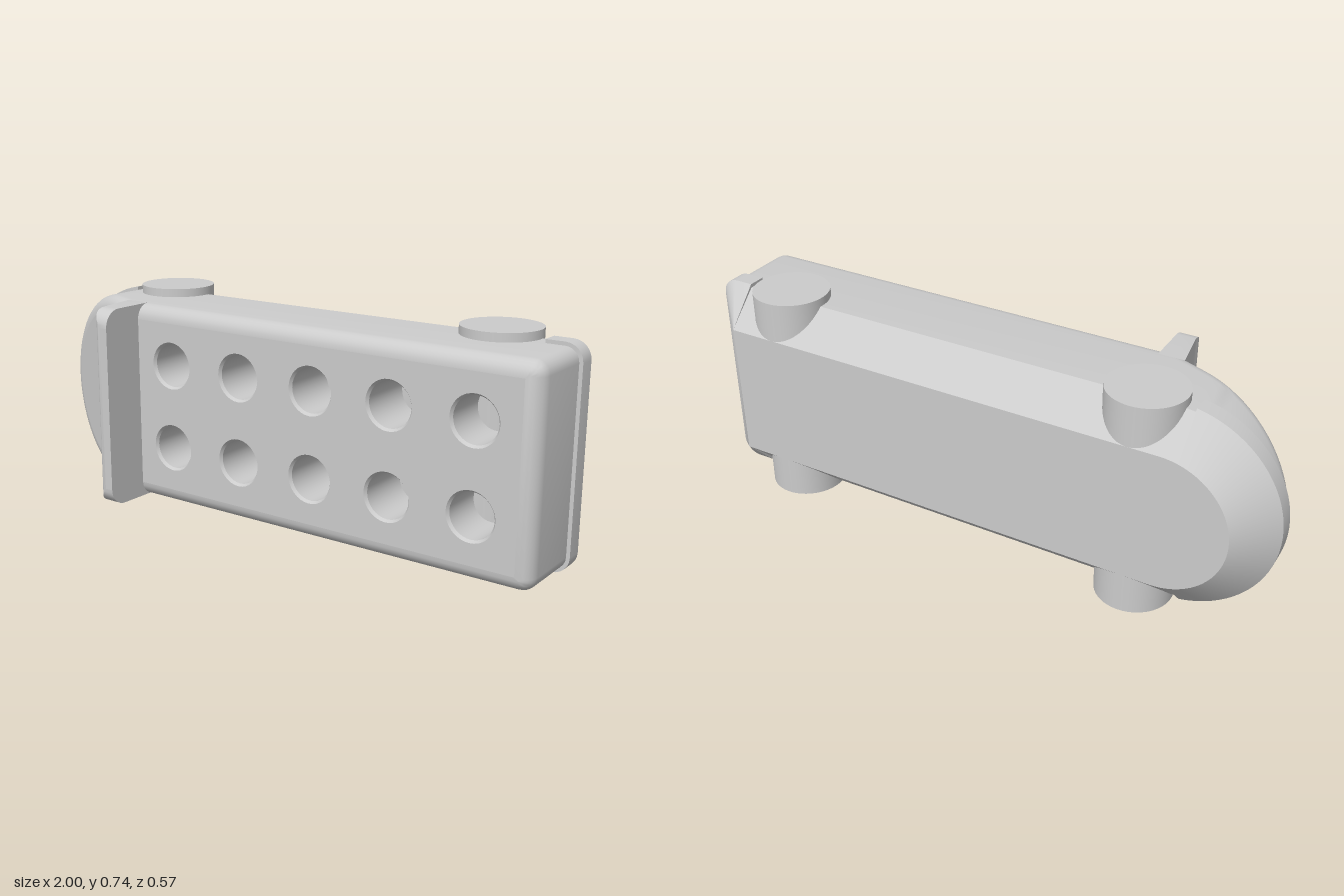
import * as THREE from 'three';
import { toCreasedNormals } from 'three/addons/utils/BufferGeometryUtils.js';

const grey = new THREE.MeshStandardMaterial({ color: 0xcccccc });
const greyDouble = new THREE.MeshStandardMaterial({ color: 0xcccccc, side: THREE.DoubleSide });

const MID = 0.369, R = 0.339, CX = -0.65, RIGHT = 0.986; // outline: round left end, square right end
const BREAK = -0.533, FRONT = 0.13, BACK = -0.283, FILLET = 0.05, INSET = -0.108;

// Front surface height: flat, then sloping down towards the round end
const frontZ = (x) => (x > BREAK ? FRONT : FRONT + 0.41 * (x - BREAK));

function arc(cx, cy, r, a0, a1, n) {
  return Array.from({ length: n + 1 }, (_, i) => {
    const a = a0 + ((a1 - a0) * i) / n;
    return new THREE.Vector2(cx + r * Math.cos(a), cy + r * Math.sin(a));
  });
}

// Two rounded corners of the square end, offset outwards by o
function squareEnd(o) {
  const r = Math.max(0.045 + o, 0.001);
  const x = RIGHT + o - r, h = R + o - r;
  return [
    ...arc(x, MID - h, r, -Math.PI / 2, 0, 6),
    ...arc(x, MID + h, r, 0, Math.PI / 2, 6),
  ];
}

const roundEnd = (o, a0 = Math.PI / 2) => arc(CX, MID, R + o, a0, 2 * Math.PI - a0, 36);

// Whole counter-clockwise outline, offset by o
const outline = (o) => [
  ...squareEnd(o),
  new THREE.Vector2(BREAK, MID + R + o),
  ...roundEnd(o),
  new THREE.Vector2(BREAK, MID - R - o),
];

// Skin over rings of equal length, ordered front to back
function loft(rings, closed) {
  const pos = [], n = rings[0].length;
  const put = (...vs) => vs.forEach((v) => pos.push(v.x, v.y, v.z));
  for (let k = 0; k + 1 < rings.length; k++) {
    const f = rings[k], b = rings[k + 1];
    for (let i = 0; i < (closed ? n : n - 1); i++) {
      const j = (i + 1) % n;
      put(b[i], b[j], f[i], b[j], f[j], f[i]);
    }
  }
  const g = new THREE.BufferGeometry();
  g.setAttribute('position', new THREE.Float32BufferAttribute(pos, 3));
  return g;
}

const ring = (pts, z) =>
  pts.map((p) => new THREE.Vector3(p.x, p.y, typeof z === 'function' ? z(p.x) : z));

function add(parent, name, geometry, material = grey, crease = 0.5) {
  const mesh = new THREE.Mesh(toCreasedNormals(geometry, crease), material);
  mesh.name = name;
  parent.add(mesh);
  return mesh;
}

function createBody() {
  const body = new THREE.Group();
  body.name = 'body';

  // Filleted front edge, straight walls, chamfered back edge
  const rings = [];
  for (let i = 0; i <= 6; i++) {
    const a = (Math.PI / 2) * (1 - i / 6);
    rings.push(ring(outline(-FILLET * (1 - Math.cos(a))), (x) => frontZ(x) - FILLET * (1 - Math.sin(a))));
  }
  rings.push(ring(outline(0), -0.17), ring(outline(INSET), BACK));
  add(body, 'bodyShell', loft(rings, true));

  // Flat back
  const back = new THREE.ShapeGeometry(new THREE.Shape(outline(INSET)));
  back.rotateY(Math.PI).scale(-1, 1, 1).translate(0, 0, BACK);
  add(body, 'backPanel', back, greyDouble);

  // Sloping panel at the round end
  const slope = new THREE.ShapeGeometry(new THREE.Shape([
    new THREE.Vector2(BREAK, MID + R - FILLET),
    ...roundEnd(-FILLET),
    new THREE.Vector2(BREAK, MID - R + FILLET),
  ]));
  const p = slope.attributes.position;
  for (let i = 0; i < p.count; i++) p.setZ(i, frontZ(p.getX(i)));
  add(body, 'slopingPanel', slope);

  // Front panel with two rows of round sockets
  const face = new THREE.Shape([
    ...squareEnd(-FILLET),
    new THREE.Vector2(BREAK, MID + R - FILLET),
    new THREE.Vector2(BREAK, MID - R + FILLET),
  ]);
  const profile = [[0.08, 0], [0.073, -0.01], [0.073, -0.2], [0, -0.2]]
    .map(([r, y]) => new THREE.Vector2(r, y));
  for (let c = 0; c < 5; c++) {
    for (const y of [0.23, 0.515]) {
      const x = -0.34 + 0.2825 * c;
      face.holes.push(new THREE.Path(arc(x, y, 0.08, 0, -Math.PI * 2, 32).slice(0, -1)));
      const socket = new THREE.LatheGeometry(profile, 32).rotateX(Math.PI / 2);
      add(body, 'socket', socket, greyDouble).position.set(x, y, FRONT);
    }
  }
  add(body, 'frontPanel', new THREE.ShapeGeometry(face)).position.z = FRONT;
  return body;
}

// Raised chamfered trim swept round one end, with its cut ends closed
function createBumper(name, path) {
  const g = new THREE.Group();
  g.name = name;
  const profile = [[0, -0.17], [0, -0.112], [0.012, -0.112], [0.012, -0.17], [INSET, BACK]];
  const rings = profile.map(([o, z]) => ring(path(o), z));
  add(g, name + 'Trim', loft(rings.slice(1), false));
  for (const end of [0, rings[0].length - 1]) {
    const c = rings.map((r) => r[end]);
    const cap = new THREE.BufferGeometry().setFromPoints(
      [c[0], c[1], c[2], c[0], c[2], c[3], c[0], c[3], c[4]]);
    add(g, name + 'End', cap, greyDouble);
  }
  return g;
}

// Upright fin: tapering, with rounded top corners
function createFin() {
  const levels = [[0.283, 0.03, 0.279]]; // z, thickness, half height
  for (let i = 1; i <= 8; i++) {
    const a = (Math.PI / 2) * (1 - i / 8);
    const z = 0.223 + 0.06 * Math.sin(a);
    const tip = Math.max(0, z - 0.245) / 0.038;
    levels.push([z, 0.064 - 0.034 * (1 - Math.sqrt(1 - Math.min(1, tip * tip))), 0.279 + 0.06 * Math.cos(a)]);
  }
  levels.push([0.08, 0.087, R]);
  const X = -0.485;
  const rings = levels.map(([z, t, h]) =>
    [[X - t, -h], [X, -h], [X, h], [X - t, h]].map(([x, y]) => new THREE.Vector3(x, MID + y, z)));
  const fin = new THREE.Group();
  fin.name = 'fin';
  add(fin, 'finSides', loft(rings, true));
  const [a, b, c, d] = rings[0];
  add(fin, 'finTip', new THREE.BufferGeometry().setFromPoints([a, b, c, a, c, d]));
  return fin;
}

export function createModel() {
  const model = new THREE.Group();
  model.name = 'vehicleBlock';
  model.add(createBody(), createFin());

  model.add(createBumper('squareBumper', (o) => [
    new THREE.Vector2(0.88, MID - R - o),
    ...squareEnd(o),
    new THREE.Vector2(0.88, MID + R + o),
  ]));
  model.add(createBumper('roundBumper', (o) => roundEnd(o, Math.acos((-0.71 - CX) / (R + o)))));

  // Wheel rollers passing through the body
  for (const x of [-0.553, 0.72]) {
    const wheel = add(model, 'wheelRoller', new THREE.CylinderGeometry(0.127, 0.127, 0.736, 48));
    wheel.position.set(x, 0.368, -0.156);
  }
  return model;
}
